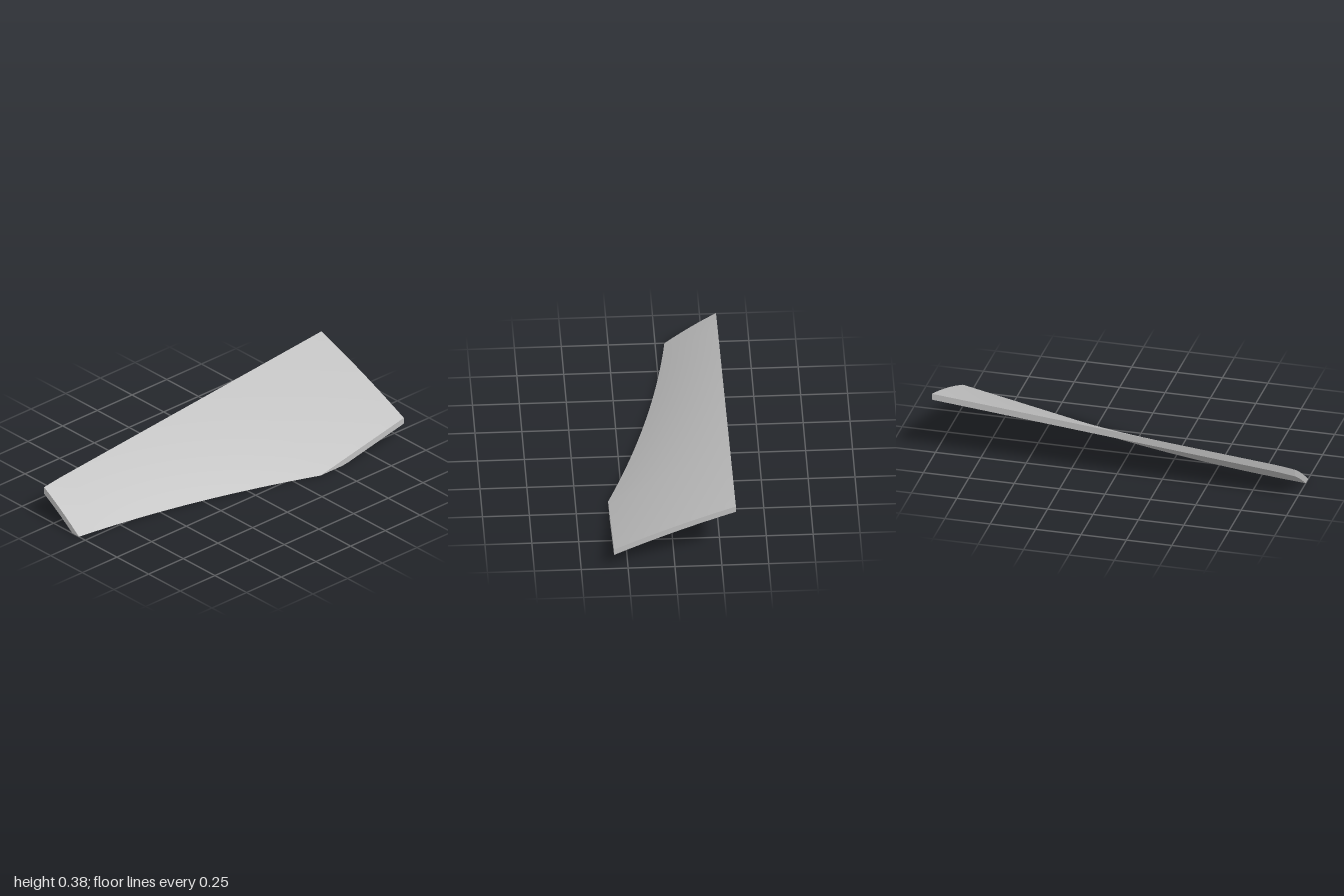
import * as THREE from 'three';

const BACK = -0.325, FRONT = 0.325, STEPS = 16;
const lerp = THREE.MathUtils.lerp;

// Outline and heights of the upper skin along the span
const frontZ = x => x >= 0.4 ? FRONT : 0.18 + 0.325 * x + 0.095 * x * x;
const frontY = x => x > 0.4 ? 0.125 * (x - 0.4) / 0.6 : 0;
const backY = x => 0.385 - 0.0957 * (1 - x) - (x < -0.86 ? 0.25 * (x + 0.86) ** 2 : 0);
const thickness = x => lerp(0.04, 0.035, (x + 1) / 2);

// Point on the upper skin, u = 0 at the back edge and 1 at the front edge
function upperPoint(x, u) {
  const drop = u - 0.15 * u * (1 - u);
  return [x, lerp(backY(x), frontY(x), drop), lerp(BACK, frontZ(x), u)];
}

// Upper profile, with the front point repeated to match the lower profile
function upperProfile(x) {
  const row = [];
  for (let j = 0; j <= STEPS; j++) row.push(upperPoint(x, j / STEPS));
  row.push(upperPoint(x, 1));
  return row;
}

// Lower profile: offset downwards, then cut flat where it meets the ground
function lowerProfile(x) {
  const t = thickness(x);
  let end = 1;
  if (frontY(x) < t) {
    let lo = 0, hi = 1;
    for (let k = 0; k < 30; k++) {
      end = (lo + hi) / 2;
      if (upperPoint(x, end)[1] > t) lo = end; else hi = end;
    }
  }
  const row = [];
  for (let j = 0; j <= STEPS; j++) {
    const [, y, z] = upperPoint(x, end * j / STEPS);
    row.push([x, Math.max(0, y - t), z]);
  }
  row.push([x, Math.max(0, frontY(x) - t), frontZ(x)]);
  return row;
}

// Surface lofted through rows of points
function loft(rows, flip = false) {
  const n = rows[0].length, index = [];
  for (let i = 0; i < rows.length - 1; i++) {
    for (let j = 0; j < n - 1; j++) {
      const a = i * n + j, b = a + 1, c = a + n, d = c + 1;
      if (flip) index.push(a, c, b, b, c, d);
      else index.push(a, b, c, b, d, c);
    }
  }
  const geometry = new THREE.BufferGeometry();
  geometry.setAttribute('position', new THREE.Float32BufferAttribute(rows.flat(2), 3));
  geometry.setIndex(index);
  geometry.computeVertexNormals();
  return geometry;
}

export function createModel() {
  const group = new THREE.Group();
  group.name = 'curvedPanel';
  const grey = new THREE.MeshStandardMaterial({ color: 0xc0c0c0 });
  grey.name = 'plain grey';
  const add = (name, geometry) => {
    const mesh = new THREE.Mesh(geometry, grey);
    mesh.name = name;
    group.add(mesh);
  };

  // Stations along the span, including the corner at x = 0.4
  const xs = [];
  for (let i = 0; i <= 50; i++) xs.push(-1 + i * 0.04);
  const upper = xs.map(upperProfile), lower = xs.map(lowerProfile);
  const last = xs.length - 1, corner = xs.findIndex(x => x > 0.399);

  // Upper and lower skins
  add('upperSkin', loft(upper.map(r => r.slice(0, STEPS + 1))));
  add('lowerSkin', loft(lower.map(r => r.slice(0, STEPS + 1)), true));

  // Flat strip along the front where the underside is cut off
  add('groundCut', loft(lower.map(r => r.slice(STEPS)), true));

  // Edge walls
  add('backEdge', loft(xs.map((x, i) => [lower[i][0], upper[i][0]])));
  add('frontEdge', loft(xs.map((x, i) => [upper[i][STEPS], lower[i][STEPS + 1]]).slice(corner)));
  add('leftEnd', loft([upper[last], lower[last]]));
  add('rightEnd', loft([lower[0], upper[0]]));
  return group;
}
